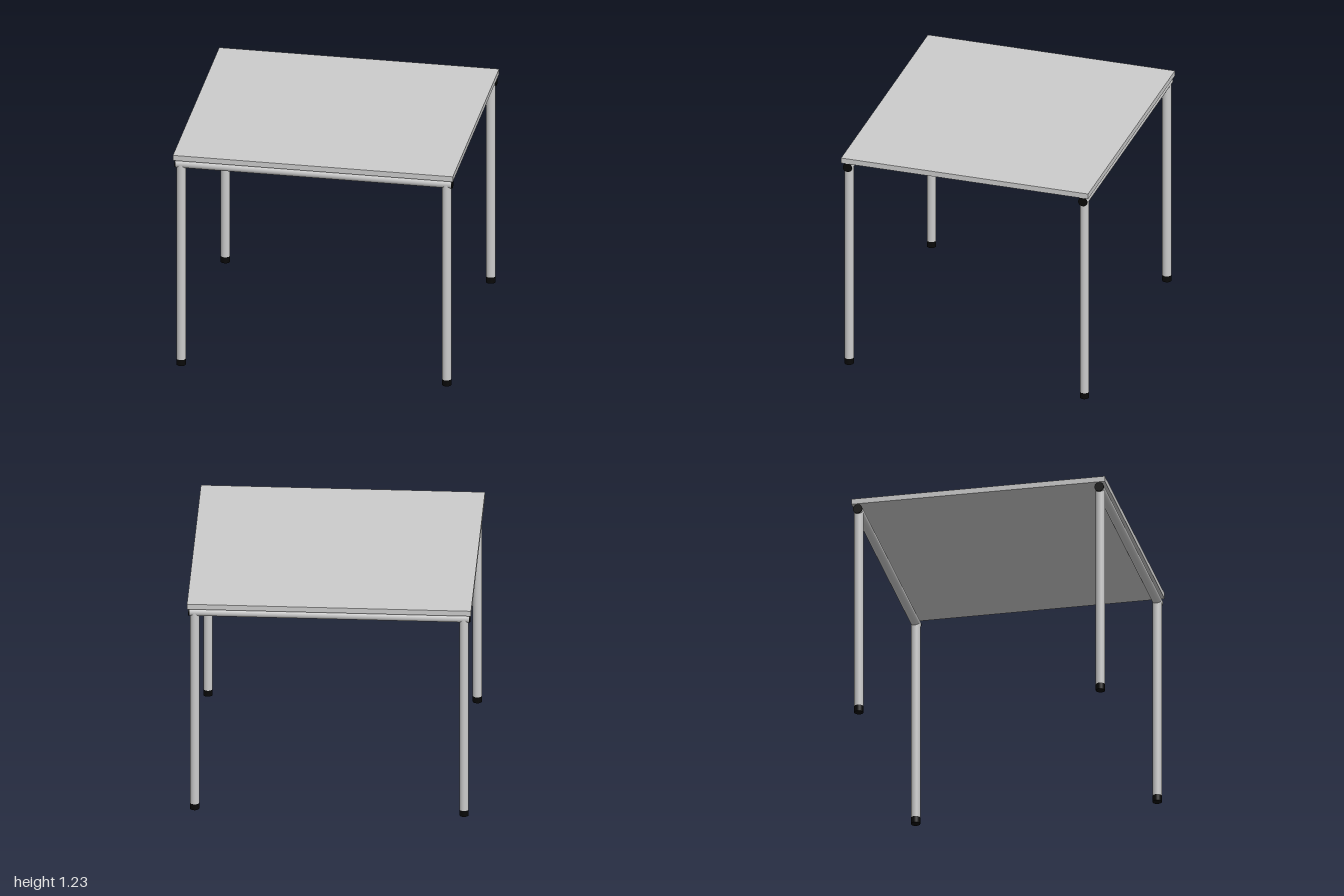
import * as THREE from 'three';

export function createModel() {
  const model = new THREE.Group();
  model.name = 'table';
  const grey = new THREE.MeshStandardMaterial({ color: 0xcccccc });
  const black = new THREE.MeshStandardMaterial({ color: 0x080808 });

  const R = 0.025;                 // tube radius
  const LEG_X = 0.655, LEG_Z = 0.715;
  const RAIL_Y = 1.177, RAIL_HALF = 0.742, CAP = 0.006;
  const FOOT = 0.035;

  const add = (name, geometry, material, x, y, z) => {
    const mesh = new THREE.Mesh(geometry, material);
    mesh.name = name;
    mesh.position.set(x, y, z);
    model.add(mesh);
    return mesh;
  };
  const tube = (length, radius = R) => new THREE.CylinderGeometry(radius, radius, length, 32);

  // Flat rectangular top
  add('tableTop', new THREE.BoxGeometry(1.375, 0.03, 1.508), grey, 0, 1.218, 0);

  for (const sx of [-1, 1]) {
    const side = sx > 0 ? 'left' : 'right';

    // Rail under each long edge
    add(side + 'Rail', tube(RAIL_HALF * 2), grey, sx * LEG_X, RAIL_Y, 0).rotation.x = Math.PI / 2;

    for (const sz of [-1, 1]) {
      const name = side + (sz > 0 ? 'Front' : 'Back');

      // Leg running up into the rail, with a black foot
      add(name + 'Leg', tube(RAIL_Y - FOOT), grey, sx * LEG_X, (RAIL_Y + FOOT) / 2, sz * LEG_Z);
      add(name + 'Foot', tube(FOOT), black, sx * LEG_X, FOOT / 2, sz * LEG_Z);

      // Thin black plug closing the rail end
      add(name + 'RailCap', tube(CAP), black, sx * LEG_X, RAIL_Y, sz * (RAIL_HALF + CAP / 2))
        .rotation.x = Math.PI / 2;
    }
  }

  // The whole table stands turned by 30 degrees
  model.rotation.y = Math.PI / 6;
  return model;
}
